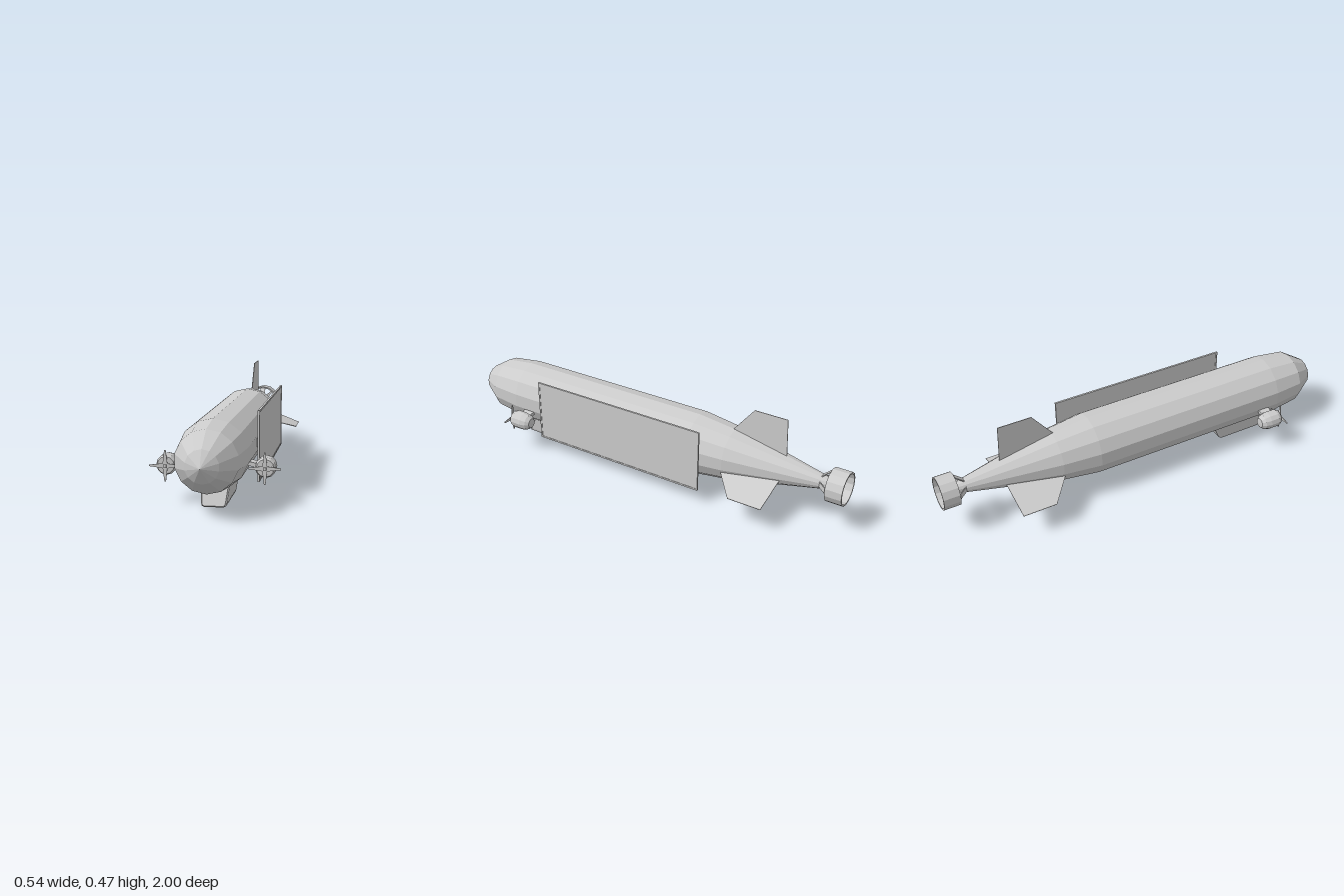
import * as THREE from 'three';

const AXIS_Y = 0.219;
const grey = new THREE.MeshStandardMaterial({ color: 0xcccccc, flatShading: true, side: THREE.DoubleSide });

function add(parent, name, geometry, x = 0, y = 0, z = 0) {
  const mesh = new THREE.Mesh(geometry, grey);
  mesh.name = name;
  mesh.position.set(x, y, z);
  parent.add(mesh);
  return mesh;
}

// Body of revolution along z from [radius, z] pairs, ordered back to front
function turned(profile, sides) {
  const points = profile.map(([r, z]) => new THREE.Vector2(r, z));
  return new THREE.LatheGeometry(points, sides).rotateX(Math.PI / 2);
}

function polygon(points) {
  return new THREE.Shape(points.map(([x, y]) => new THREE.Vector2(x, y)));
}

function slab(points, thickness) {
  return new THREE.ExtrudeGeometry(polygon(points), { depth: thickness, bevelEnabled: false })
    .translate(0, 0, -thickness / 2);
}

// Flat star of tapering blades
function propeller(count, length, root, tip, thickness) {
  const points = [];
  const step = (2 * Math.PI) / count;
  for (let i = 0; i < count; i++) {
    const a = i * step;
    const place = (along, across) => [
      along * Math.cos(a) - across * Math.sin(a),
      along * Math.sin(a) + across * Math.cos(a)];
    points.push(place(length, -tip), place(length, tip), place(length * 0.45, root * 0.75),
      [root * 1.4 * Math.cos(a + step / 2), root * 1.4 * Math.sin(a + step / 2)]);
    points.splice(points.length - 4, 0, place(length * 0.45, -root * 0.75));
  }
  return slab(points, thickness);
}

function makeEngine(side) {
  const engine = new THREE.Group();
  engine.name = side > 0 ? 'leftEngine' : 'rightEngine';
  engine.position.set(side * 0.205, 0.16, 0);
  add(engine, 'nacelle', turned([[0, 0.563], [0.024, 0.565], [0.037, 0.582], [0.043, 0.61],
    [0.043, 0.655], [0.036, 0.671], [0, 0.672]], 12));
  add(engine, 'spinner', new THREE.BoxGeometry(0.013, 0.013, 0.022), 0, 0, 0.679);
  add(engine, 'propeller', propeller(4, 0.066, 0.01, 0.003, 0.003), 0, 0, 0.682);
  const strut = add(engine, 'engineStrut', new THREE.BoxGeometry(0.07, 0.017, 0.055), -side * 0.05, 0.011, 0.63);
  strut.rotation.z = -side * 0.2;
  return engine;
}

function makeBillboard() {
  const board = new THREE.Group();
  board.name = 'sideBoard';
  board.position.set(0.1615, 0.2235, 0.0925);
  const length = 0.895, height = 0.303, rim = 0.008, depth = 0.009;
  add(board, 'boardPanel', new THREE.BoxGeometry(0.005, height - rim, length - rim));
  for (const s of [-1, 1]) {
    add(board, 'frameRail', new THREE.BoxGeometry(depth, rim, length), 0, s * (height - rim) / 2, 0);
    add(board, 'framePost', new THREE.BoxGeometry(depth, height - 2 * rim, rim), 0, 0, s * (length - rim) / 2);
  }
  add(board, 'boardMount', new THREE.BoxGeometry(0.03, 0.039, 0.72), -0.017, 0, -0.0025);
  return board;
}

function makeTail() {
  const tail = new THREE.Group();
  tail.name = 'tailThruster';
  tail.position.y = AXIS_Y;
  add(tail, 'duct', turned([[0.07, -1], [0.078, -1], [0.078, -0.922], [0.07, -0.922], [0.07, -1]], 14));
  add(tail, 'hub', turned([[0, -0.975], [0.01, -0.97], [0.014, -0.95], [0.014, -0.89]], 8));
  add(tail, 'rotor', propeller(4, 0.066, 0.011, 0.005, 0.004), 0, 0, -0.957).rotation.z = Math.PI / 4;

  // Four flat stays joining the hull to the duct
  for (let i = 0; i < 4; i++) {
    const stay = new THREE.Group();
    stay.name = 'ductStay';
    stay.rotation.z = (i * Math.PI) / 2;
    const plate = add(stay, 'stayPlate', new THREE.BoxGeometry(0.026, 0.004, 0.068), 0, 0.051, -0.904);
    plate.rotation.x = Math.atan2(0.045, 0.05);
    tail.add(stay);
  }
  return tail;
}

export function createModel() {
  const model = new THREE.Group();
  model.name = 'airship';

  // Faceted envelope
  add(model, 'hull', turned([[0, -0.922], [0.024, -0.92], [0.036, -0.87], [0.125, -0.45], [0.147, -0.27],
    [0.147, 0.71], [0.129, 0.86], [0.068, 0.957], [0, 1]], 14), 0, AXIS_Y, 0);

  // Cabin: bevelled tub sheared so both ends rake forward
  const cabin = new THREE.ExtrudeGeometry(polygon([[-0.058, 0.11], [-0.048, 0.018], [-0.045, 0.009],
    [-0.038, 0.006], [0.038, 0.006], [0.045, 0.009], [0.048, 0.018], [0.058, 0.11]]),
  { depth: 0.25, bevelSize: 0.006, bevelThickness: 0.01, bevelSegments: 1 });
  const p = cabin.attributes.position;
  for (let i = 0; i < p.count; i++) p.setZ(i, p.getZ(i) + 0.455 - 0.5 * p.getY(i));
  cabin.computeVertexNormals();
  add(model, 'cabin', cabin);

  // One upright fin and two drooping side fins
  const finOutline = [[-0.40, 0.08], [-0.44, 0.122], [-0.54, 0.249], [-0.70, 0.249], [-0.71, 0.03]];
  [['topFin', 0, 1], ['leftFin', -111, 0.97], ['rightFin', 111, 0.97]].forEach(([name, degrees, scale]) => {
    const fin = add(model, name, slab(finOutline, 0.003).rotateY(-Math.PI / 2), 0, AXIS_Y, 0);
    fin.rotation.z = THREE.MathUtils.degToRad(degrees);
    fin.scale.y = scale;
  });

  model.add(makeEngine(1), makeEngine(-1), makeBillboard(), makeTail());
  return model;
}
